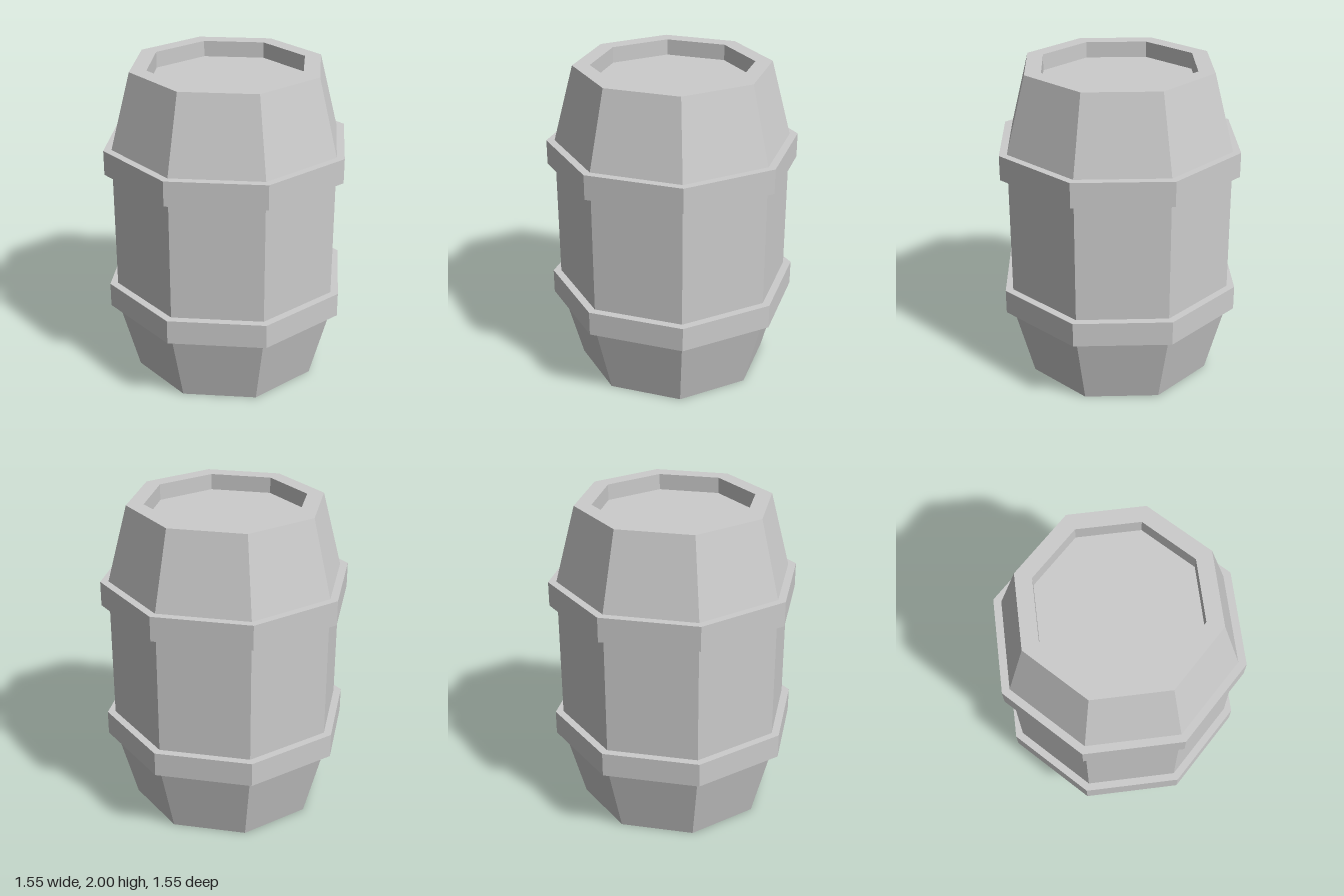
import * as THREE from 'three';

const SIDES = 8;
const material = new THREE.MeshStandardMaterial({ color: 0xcccccc, flatShading: true });

// Eight-sided solid turned from a profile of [radius, height] points
function turned(name, profile) {
  const points = profile.map(([r, y]) => new THREE.Vector2(r, y));
  const mesh = new THREE.Mesh(new THREE.LatheGeometry(points, SIDES), material);
  mesh.name = name;
  return mesh;
}

export function createModel() {
  const barrel = new THREE.Group();
  barrel.name = 'barrel';

  // Staves with a raised rim and recessed lid at both ends
  barrel.add(turned('barrelBody', [
    [0, 0.1], [0.495, 0.1], [0.495, 0], [0.6, 0],
    [0.725, 0.472], [0.725, 1.528],
    [0.6, 2], [0.495, 2], [0.495, 1.9], [0, 1.9],
  ]));

  // Hoops where the body starts to taper
  const hoopHeight = 0.154;
  for (const [name, y] of [['lowerHoop', 0.471], ['upperHoop', 1.375]]) {
    barrel.add(turned(name, [
      [0.724, y], [0.775, y], [0.775, y + hoopHeight], [0.724, y + hoopHeight],
    ]));
  }
  return barrel;
}
